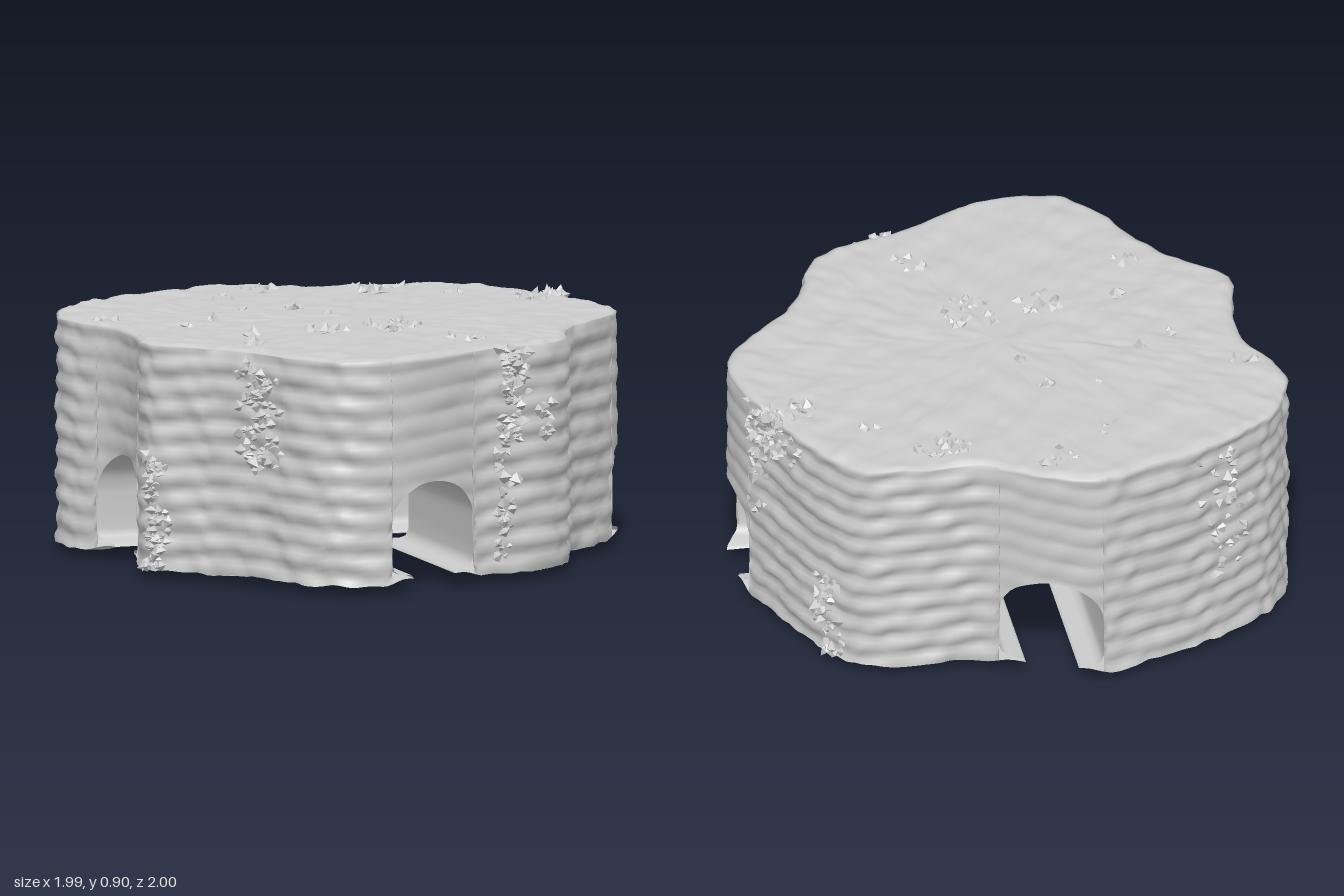
import * as THREE from 'three';
import { mergeGeometries, mergeVertices } from 'three/addons/utils/BufferGeometryUtils.js';

const CX = -0.03, CZ = -0.04;            // where the two tunnels cross
const HALF = 0.18, LIP = 0.09;           // tunnel half width, half gap between the feet
const SPRING = 0.24, RISE = 0.16, TOP = 0.85;
const lerp = THREE.MathUtils.lerp, smooth = THREE.MathUtils.smoothstep;

// plan outline of the rock as x, z pairs
const OUTLINE = [
  0.72, -0.71, 0.8, -0.58, 0.88, -0.4, 0.95, -0.22, 0.98, -0.1, 0.99, 0, 0.97, 0.08, 0.85, 0.23,
  0.7, 0.38, 0.62, 0.54, 0.58, 0.66, 0.46, 0.76, 0.3, 0.81, 0.18, 0.84, 0, 0.93, -0.14, 0.98,
  -0.28, 0.99, -0.4, 0.96, -0.52, 0.83, -0.6, 0.68, -0.7, 0.53, -0.8, 0.42, -0.89, 0.33, -0.91, 0.25,
  -0.88, 0.1, -0.87, -0.05, -0.89, -0.17, -0.96, -0.3, -0.99, -0.42, -0.95, -0.56, -0.88, -0.68,
  -0.78, -0.76, -0.58, -0.87, -0.35, -0.96, -0.2, -1, -0.1, -0.98, 0.02, -0.93, 0.2, -0.84,
  0.45, -0.83, 0.62, -0.8,
];
const points = [];
for (let i = 0; i < OUTLINE.length; i += 2) points.push(new THREE.Vector3(OUTLINE[i], 0, OUTLINE[i + 1]));
const curve = new THREE.CatmullRomCurve3(points, true, 'centripetal');
const at = (t) => curve.getPoint(((t % 1) + 1) % 1);
const N = 1600;
const samples = Array.from({ length: N + 1 }, (_, i) => at(i / N));

let seed = 7;
const rand = () => (seed = (seed * 16807) % 2147483647) / 2147483647;
const noise = (x, y, z) =>
  (Math.sin(13 * x + 7 * z + 3 * Math.sin(9 * y + 5 * z)) +
    Math.sin(19 * z - 11 * x + 2 * Math.sin(17 * x + 8 * y)) +
    Math.sin(31 * y + 23 * x + 2 * Math.sin(27 * z))) / 3;
const tunnelDistance = (x, z) => Math.min(Math.abs(x - CX), Math.abs(z - CZ));

// layered rock face at outline position t and height y
function wall(t, y) {
  const p = at(t), a = at(t + 0.002), b = at(t - 0.002);
  const out = new THREE.Vector3(a.z - b.z, 0, b.x - a.x).normalize();
  const rough = lerp(0.35, 1, smooth(tunnelDistance(p.x, p.z), 0.12, 0.3));
  const bed = y + 0.02 * Math.sin(5 * p.x + 3 * p.z) + 0.008 * noise(p.x, 0, p.z);
  const layer = Math.abs(Math.sin((Math.PI * bed) / 0.082)) - 1;
  p.addScaledVector(out, rough * (0.015 * layer + 0.008 * noise(p.x * 1.5, y * 1.5, p.z * 1.5)));
  p.y = y;
  return p;
}

const footY = (x, z) =>
  0.055 - smooth(tunnelDistance(x, z), 0.12, 0.22) * (0.02 + 0.008 * noise(x * 1.5, 0, z * 1.5));

// direction out of tunnel k, and the sideways direction along the outline
const axes = (k) => {
  const c = Math.round(Math.cos((k * Math.PI) / 2)), s = Math.round(Math.sin((k * Math.PI) / 2));
  return { dx: c, dz: s, tx: -s, tz: c };
};

// outline position at sideways offset u from the axis of tunnel k
function outlineAt(k, u) {
  const { dx, dz, tx, tz } = axes(k);
  const side = (p) => (p.x - CX) * tx + (p.z - CZ) * tz - u;
  for (let i = 0; i < N; i++) {
    const p = samples[i], s0 = side(p), s1 = side(samples[i + 1]);
    if (s0 <= 0 && s1 > 0 && (p.x - CX) * dx + (p.z - CZ) * dz > 0) return (i + s0 / (s0 - s1)) / N;
  }
  return 0;
}

// smooth sheet from a rule giving a point for each column and row
function sheet(cols, rows, rule) {
  const pos = [], index = [], w = rows + 1;
  for (let i = 0; i <= cols; i++) for (let j = 0; j <= rows; j++) pos.push(...rule(i, j).toArray());
  for (let i = 0; i < cols; i++) for (let j = 0; j < rows; j++) {
    const a = i * w + j, b = a + w;
    index.push(a, a + 1, b, b, a + 1, b + 1);
  }
  let g = new THREE.BufferGeometry();
  g.setAttribute('position', new THREE.Float32BufferAttribute(pos, 3));
  g.setIndex(index);
  g = mergeVertices(g, 1e-5);
  g.computeVertexNormals();
  return g;
}

// half-round arch as sideways offset and height
const ARCH = Array.from({ length: 25 }, (_, i) => {
  const a = (i / 24) * Math.PI;
  return [-HALF * Math.cos(a), SPRING + RISE * Math.pow(Math.sin(a), 0.9)];
});

// outer walls, with a column for each step round the outline, and the rounded top
function shellGeometry() {
  const columns = [], PIER = 64, WALL = 44, CAP = 28;
  for (let k = 0; k < 4; k++) {
    for (const [u, y] of ARCH) columns.push({ t: outlineAt(k, u), base: y });
    const t0 = outlineAt(k, HALF);
    const t1 = outlineAt((k + 1) % 4, -HALF) + (k === 3 ? 1 : 0);
    for (let i = 0; i <= PIER; i++) {
      const t = lerp(t0, t1, i / PIER), p = at(t);
      columns.push({ t, base: footY(p.x, p.z) });
    }
  }
  columns.push(columns[0]);
  return sheet(columns.length - 1, WALL + CAP, (i, j) => {
    const { t, base } = columns[i];
    if (j <= WALL) return wall(t, lerp(base, TOP, j / WALL));
    const s = Math.pow((j - WALL) / CAP, 1.4);
    const p = wall(t, TOP).multiplyScalar(1 - s);
    p.y = TOP + smooth(s, 0, 0.03) * (0.012 + 0.007 * noise(p.x, 0.3, p.z) + 0.004 * noise(p.z * 2.3, 0, p.x * 2.3));
    return p;
  });
}

// one arm of the crossing vault, mitred on the diagonals, with a thin lip at each foot
function tunnelGeometry(k) {
  const { dx, dz, tx, tz } = axes(k);
  const leg = [[LIP, 0.055], [LIP + 0.01, 0.067], [0.15, 0.072], [0.172, 0.085], [HALF, 0.11], [HALF, 0.17]];
  const profile = [...leg.map(([u, y]) => [-u, y]), ...ARCH, ...leg.slice().reverse()];
  const ends = profile.map(([u, y]) => {
    const d = Math.abs(u);
    return [
      new THREE.Vector3(CX + dx * d + tx * u, y, CZ + dz * d + tz * u),
      wall(outlineAt(k, u), y),
    ];
  });
  return sheet(profile.length - 1, 12, (i, j) => ends[i][0].clone().lerp(ends[i][1], j / 12));
}

// underside of the pier between tunnels k and k + 1
function footGeometry(k) {
  const a = axes(k), b = axes((k + 1) % 4);
  const corner = new THREE.Vector3(CX + (a.dx + b.dx) * LIP, 0, CZ + (a.dz + b.dz) * LIP);
  const t0 = outlineAt(k, LIP), t1 = outlineAt((k + 1) % 4, -LIP) + (k === 3 ? 1 : 0);
  return sheet(60, 24, (i, j) => {
    const t = lerp(t0, t1, i / 60), q = at(t);
    const p = corner.clone().lerp(wall(t, footY(q.x, q.z)), j / 24);
    p.y = footY(p.x, p.z);
    return p;
  });
}

// small sharp stone
function chip(p, size) {
  const g = new THREE.OctahedronGeometry(size);
  g.scale(0.6 + 0.5 * rand(), 0.7 + 0.6 * rand(), 0.5 + 0.4 * rand());
  g.rotateX(rand() * 6).rotateY(rand() * 6).translate(p.x, p.y, p.z);
  return g;
}

// wall patches: x, z, lowest y, highest y, spread along the outline, count
const WALL_PATCHES = [
  [0.32, 0.81, 0.5, 0.85, 0.014, 75], [0.28, 0.82, 0.08, 0.5, 0.01, 32], [0.46, 0.76, 0.5, 0.66, 0.008, 14],
  [-0.61, 0.67, 0.42, 0.82, 0.016, 85], [-0.89, 0.32, 0.04, 0.45, 0.016, 70], [0.9, -0.33, 0.7, 0.85, 0.03, 60],
  [0.94, -0.28, 0.4, 0.75, 0.012, 22], [0.74, -0.68, 0.04, 0.35, 0.016, 40], [-0.7, -0.81, 0.3, 0.8, 0.016, 40],
];
// patches on the top: x, z, radius, count
const TOP_PATCHES = [
  [0.06, 0.2, 0.11, 26], [-0.2, 0.24, 0.08, 16], [0.32, -0.68, 0.1, 26], [0.82, -0.36, 0.1, 28],
  [0.24, 0.57, 0.08, 10], [-0.55, 0.47, 0.05, 7], [-0.06, -0.83, 0.08, 8], [-0.11, -0.32, 0.04, 5],
  [-0.3, -0.66, 0.06, 5], [0.55, -0.51, 0.04, 5], [-0.85, -0.28, 0.05, 5], [-0.5, -0.13, 0.03, 3],
  [-0.62, -0.05, 0.02, 2], [-0.3, -0.35, 0.02, 2], [-0.06, -0.15, 0.02, 3], [-0.48, 0.25, 0.03, 3],
];
const BOTTOM_PATCHES = [[0.45, 0.5, 0.1, 10], [-0.4, 0.6, 0.12, 10], [-0.6, -0.5, 0.12, 10], [0.45, -0.55, 0.12, 12]];

export function createModel() {
  const model = new THREE.Group();
  const rock = new THREE.MeshStandardMaterial({ color: 0xcccccc, side: THREE.DoubleSide });
  const sharp = new THREE.MeshStandardMaterial({ color: 0xcccccc, flatShading: true });
  const add = (name, geometry, material = rock) => {
    const mesh = new THREE.Mesh(geometry, material);
    mesh.name = name;
    model.add(mesh);
  };

  add('rockShell', shellGeometry());
  for (let k = 0; k < 4; k++) {
    add('tunnelArm' + (k + 1), tunnelGeometry(k));
    add('pierFoot' + (k + 1), footGeometry(k));
  }

  // clusters of sharp stones on the walls, the top and the feet
  const wallChips = [], flatChips = [];
  for (const [x, z, y0, y1, spread, count] of WALL_PATCHES) {
    const gap = (p) => Math.hypot(p.x - x, p.z - z);
    const t = samples.reduce((best, p, i) => (gap(p) < gap(samples[best]) ? i : best), 0) / N;
    for (let i = 0; i < count; i++) {
      wallChips.push(chip(wall(t + (rand() + rand() - 1) * spread, lerp(y0, y1, rand())), 0.018 + 0.014 * rand()));
    }
  }
  const scatter = (patches, y) => {
    for (const [x, z, r, count] of patches) for (let i = 0; i < count; i++) {
      const a = rand() * Math.PI * 2, d = r * Math.sqrt(rand());
      flatChips.push(chip(new THREE.Vector3(x + d * Math.cos(a), y, z + d * Math.sin(a)), 0.018 + 0.014 * rand()));
    }
  };
  scatter(TOP_PATCHES, TOP + 0.008);
  scatter(BOTTOM_PATCHES, 0.036);
  add('wallStones', mergeGeometries(wallChips), sharp);
  add('looseStones', mergeGeometries(flatChips), sharp);
  return model;
}
